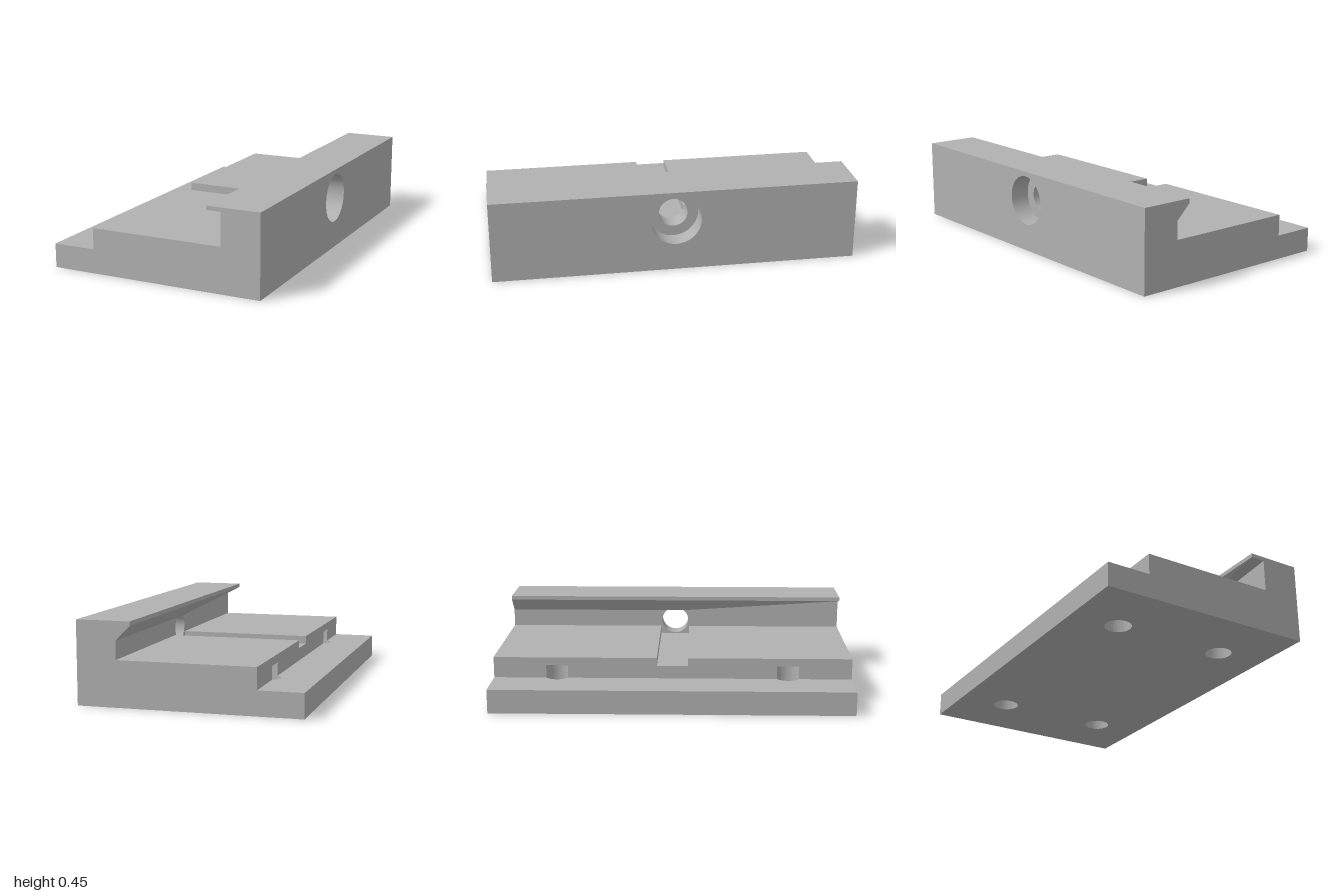
import * as THREE from 'three';
import { toCreasedNormals } from 'three/addons/utils/BufferGeometryUtils.js';

// Main levels (y) and stations (x)
const X0 = -0.605, STEP = -0.363, LIP = 0.308, WALL = 0.388, SHOULDER = 0.495, X1 = 0.605;
const LEDGE = 0.133, FLOOR = 0.205, DECK = 0.25, UNDER = 0.35, LIP_Y = 0.43, TOP = 0.4525;
const GROOVE = 0.0865;                         // half width of the cross groove
const HOLE = { x: 0.325, z: 0.645, r: 0.072 }; // blind holes in the underside
const BORE = { y: 0.2885, r: 0.08, R: 0.1375 };

const rect = (x0, y0, x1, y1) => new THREE.Shape([
  new THREE.Vector2(x0, y0), new THREE.Vector2(x1, y0),
  new THREE.Vector2(x1, y1), new THREE.Vector2(x0, y1),
]);

const circle = (x, y, r) => new THREE.Path().absarc(x, y, r, 0, Math.PI * 2, true);

const extrude = (shape, depth) =>
  new THREE.ExtrudeGeometry(shape, { depth, bevelEnabled: false, curveSegments: 40 });

// Plan outline (x, z) raised from y0 to y1
const alongY = (shape, y0, y1) => extrude(shape, y1 - y0).rotateX(-Math.PI / 2).translate(0, y0, 0);

// Side outline (z, y) pushed from x0 to x1
const alongX = (shape, x0, x1) => extrude(shape, x1 - x0).rotateY(Math.PI / 2).translate(x0, 0, 0);

export function createModel() {
  const group = new THREE.Group();
  const metal = new THREE.MeshStandardMaterial({ color: 0xb0b0b0 });
  metal.name = 'grey metal';

  const add = (name, geometry) => {
    const mesh = new THREE.Mesh(toCreasedNormals(geometry, 0.5), metal);
    mesh.name = name;
    group.add(mesh);
  };

  // Bottom plate with four round holes
  const plate = rect(X0, -1, SHOULDER, 1);
  for (const sx of [-1, 1]) for (const sz of [-1, 1])
    plate.holes.push(circle(sx * HOLE.x, sz * HOLE.z, HOLE.r));
  add('bottomPlate', alongY(plate, 0, LEDGE));

  // Middle layer: two holes break out through the step wall
  const a = Math.acos((STEP + HOLE.x) / HOLE.r);
  const layer = new THREE.Shape();
  layer.moveTo(STEP, -1);
  layer.lineTo(SHOULDER, -1);
  layer.lineTo(SHOULDER, 1);
  layer.lineTo(STEP, 1);
  for (const sz of [1, -1]) layer.absarc(-HOLE.x, sz * HOLE.z, HOLE.r, a, -a, true);
  layer.closePath();
  for (const sz of [1, -1]) layer.holes.push(circle(HOLE.x, sz * HOLE.z, HOLE.r));
  add('middleLayer', alongY(layer, LEDGE, FLOOR));

  // Raised deck on both sides of the cross groove
  add('frontDeck', alongY(rect(STEP, -1, WALL, -GROOVE), FLOOR, DECK));
  add('backDeck', alongY(rect(STEP, GROOVE, WALL, 1), FLOOR, DECK));

  // Rail: inner half with the narrow bore, outer half with the counterbore
  const inner = rect(-1, FLOOR, 1, TOP);
  inner.holes.push(circle(0, BORE.y, BORE.r));
  add('railInner', alongX(inner, WALL, SHOULDER));

  const outer = rect(-1, 0, 1, TOP);
  outer.holes.push(circle(0, BORE.y, BORE.R));
  add('railOuter', alongX(outer, SHOULDER, X1));

  // Overhanging lip: square nose above a sloped underside notched by the bore
  add('lipNose', alongX(rect(-1, LIP_Y, 1, TOP), LIP, WALL));

  const b = Math.asin((UNDER - BORE.y) / BORE.r);
  const slope = new THREE.Shape();
  slope.moveTo(-1, UNDER);
  slope.absarc(0, BORE.y, BORE.r, Math.PI - b, b, true);
  slope.lineTo(1, UNDER);
  slope.lineTo(1, LIP_Y);
  slope.lineTo(-1, LIP_Y);
  slope.closePath();
  const lip = alongX(slope, LIP, WALL);
  const p = lip.attributes.position;
  for (let i = 0; i < p.count; i++) {
    if (p.getX(i) < WALL - 0.001) p.setX(i, WALL - (p.getY(i) - UNDER));
  }
  lip.computeVertexNormals();
  add('lipSlope', lip);

  return group;
}
